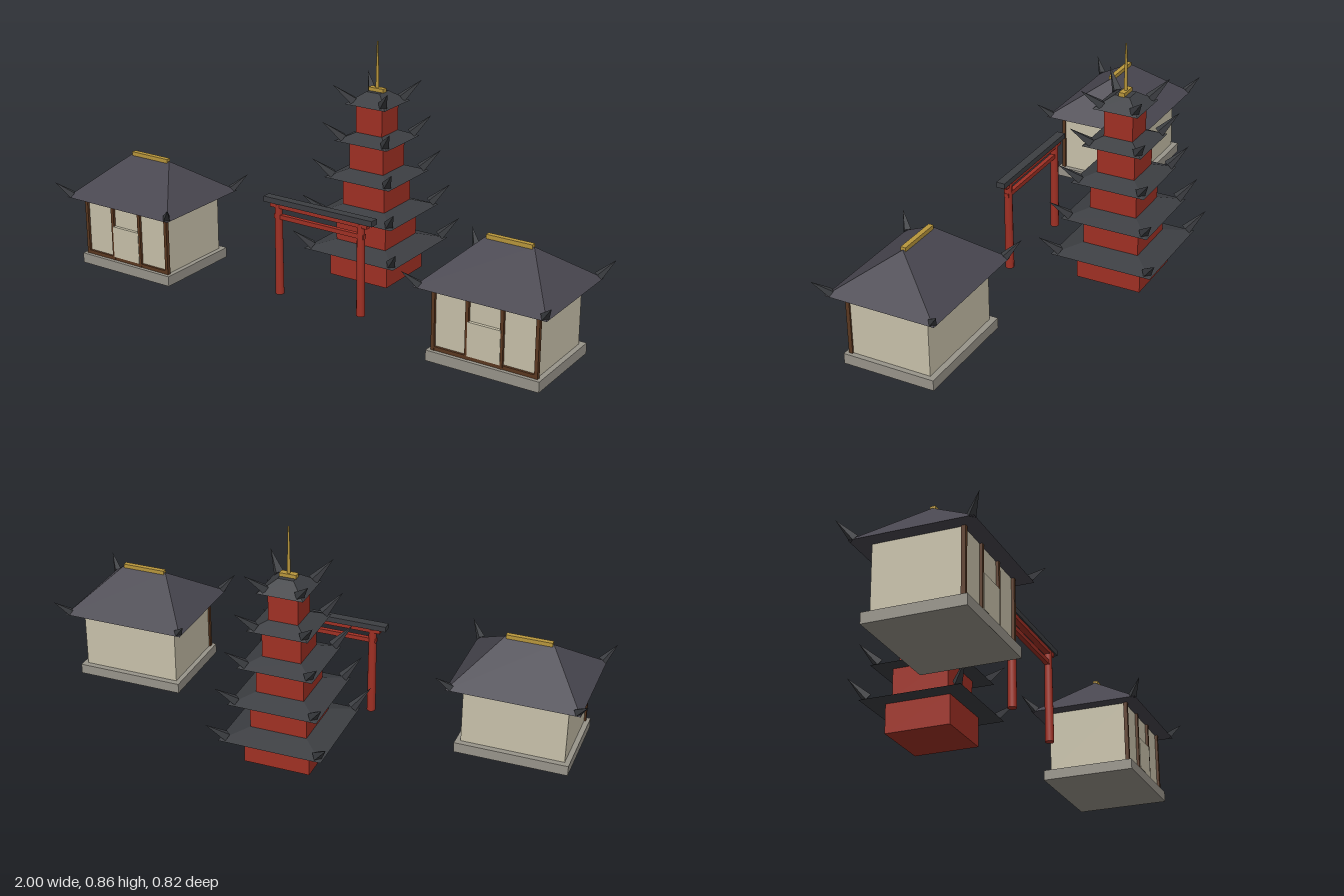
import * as THREE from 'three';

const mat = (name, color) => {
  const m = new THREE.MeshStandardMaterial({ color });
  m.name = name;
  return m;
};

export function createModel() {
  const red = mat('red lacquer', 0xa03024);
  const tile = mat('dark tile', 0x3c3e42);
  const slate = mat('slate roof', 0x48464f);
  const plaster = mat('plaster', 0xc8c1aa);
  const stone = mat('stone', 0x98948a);
  const wood = mat('brown wood', 0x5a3820);
  const gold = mat('gold', 0xb8963c);

  const add = (parent, name, geo, material, x = 0, y = 0, z = 0) => {
    const m = new THREE.Mesh(geo, material);
    m.name = name;
    m.position.set(x, y, z);
    parent.add(m);
    return m;
  };
  // box standing on y0
  const box = (parent, name, material, w, y0, y1, d, x = 0, z = 0) =>
    add(parent, name, new THREE.BoxGeometry(w, y1 - y0, d), material, x, (y0 + y1) / 2, z);

  // hipped roof: box whose top face is shrunk to the half sizes tx, tz
  const hipRoof = (parent, name, material, ex, ez, y0, tx, tz, y1) => {
    let g = new THREE.BoxGeometry(ex * 2, y1 - y0, ez * 2);
    const p = g.attributes.position;
    for (let i = 0; i < p.count; i++) {
      if (p.getY(i) > 0) {
        p.setX(i, Math.sign(p.getX(i)) * tx);
        p.setZ(i, Math.sign(p.getZ(i)) * tz);
      }
    }
    g = g.toNonIndexed();
    g.computeVertexNormals();
    add(parent, name, g, material, 0, (y0 + y1) / 2, 0);
  };

  // four upturned corner horns ending at (±tx, ty, ±tz)
  const horns = (parent, tx, ty, tz, run, rise, radius) => {
    for (const sx of [-1, 1]) for (const sz of [-1, 1]) {
      const axis = new THREE.Vector3(sx * run, rise, sz * run);
      const len = axis.length();
      const g = new THREE.ConeGeometry(radius, len, 4).toNonIndexed();
      g.computeVertexNormals();
      const h = add(parent, 'cornerHorn', g, tile,
        sx * (tx - run / 2), ty - rise / 2, sz * (tz - run / 2));
      h.quaternion.setFromUnitVectors(new THREE.Vector3(0, 1, 0), axis.normalize());
    }
  };

  const model = new THREE.Group();
  model.name = 'templeGrounds';

  // five-tier pagoda
  const pagoda = new THREE.Group();
  pagoda.name = 'pagoda';
  pagoda.position.z = -0.19;
  model.add(pagoda);
  for (let i = 0; i < 5; i++) {
    const y = i * 0.133;
    const half = 0.12 - i * 0.0166;
    const eave = 0.188 - i * 0.0262;
    const last = i === 4;
    box(pagoda, 'tierWall', red, half * 2, y, y + 0.108, half * 2);
    hipRoof(pagoda, 'tierRoof', tile, eave, eave, y + 0.107,
      last ? 0.028 : half - 0.0166, last ? 0.028 : half - 0.0166, y + (last ? 0.148 : 0.134));
    horns(pagoda, eave + 0.03, y + 0.18, eave + 0.03, 0.052, 0.062, 0.019);
  }
  box(pagoda, 'spireBase', gold, 0.06, 0.678, 0.693, 0.022);
  add(pagoda, 'spire', new THREE.CylinderGeometry(0.003, 0.0065, 0.17, 8), gold, 0, 0.775, 0);

  // gate
  const gate = new THREE.Group();
  gate.name = 'gate';
  gate.position.z = 0.172;
  model.add(gate);
  for (const s of [-1, 1]) {
    add(gate, 'gatePost', new THREE.CylinderGeometry(0.014, 0.016, 0.335, 10), red, s * 0.17, 0.1675, 0);
  }
  box(gate, 'gateTieBeam', red, 0.37, 0.282, 0.298, 0.016);
  box(gate, 'gateLintel', red, 0.4, 0.323, 0.339, 0.022);
  box(gate, 'gateCap', tile, 0.446, 0.338, 0.358, 0.032);

  // two matching houses
  for (const side of [-1, 1]) {
    const house = new THREE.Group();
    house.name = side > 0 ? 'leftHouse' : 'rightHouse';
    house.position.set(side * 0.735, 0, 0.18);
    model.add(house);
    box(house, 'foundation', stone, 0.406, 0, 0.037, 0.334);
    box(house, 'walls', plaster, 0.37, 0.037, 0.262, 0.291);
    for (const x of [-0.185, -0.062, 0.062, 0.185]) {
      box(house, 'frontPost', wood, 0.012, 0.037, 0.262, 0.014, x, 0.148);
    }
    box(house, 'frontSill', wood, 0.37, 0.037, 0.05, 0.012, 0, 0.148);
    box(house, 'doorPanel', plaster, 0.118, 0.05, 0.168, 0.014, 0, 0.15);
    hipRoof(house, 'houseRoof', slate, 0.235, 0.2, 0.26, 0.085, 0.001, 0.4);
    box(house, 'ridgeBar', gold, 0.164, 0.394, 0.409, 0.018);
    horns(house, 0.263, 0.319, 0.228, 0.042, 0.051, 0.016);
  }
  return model;
}
